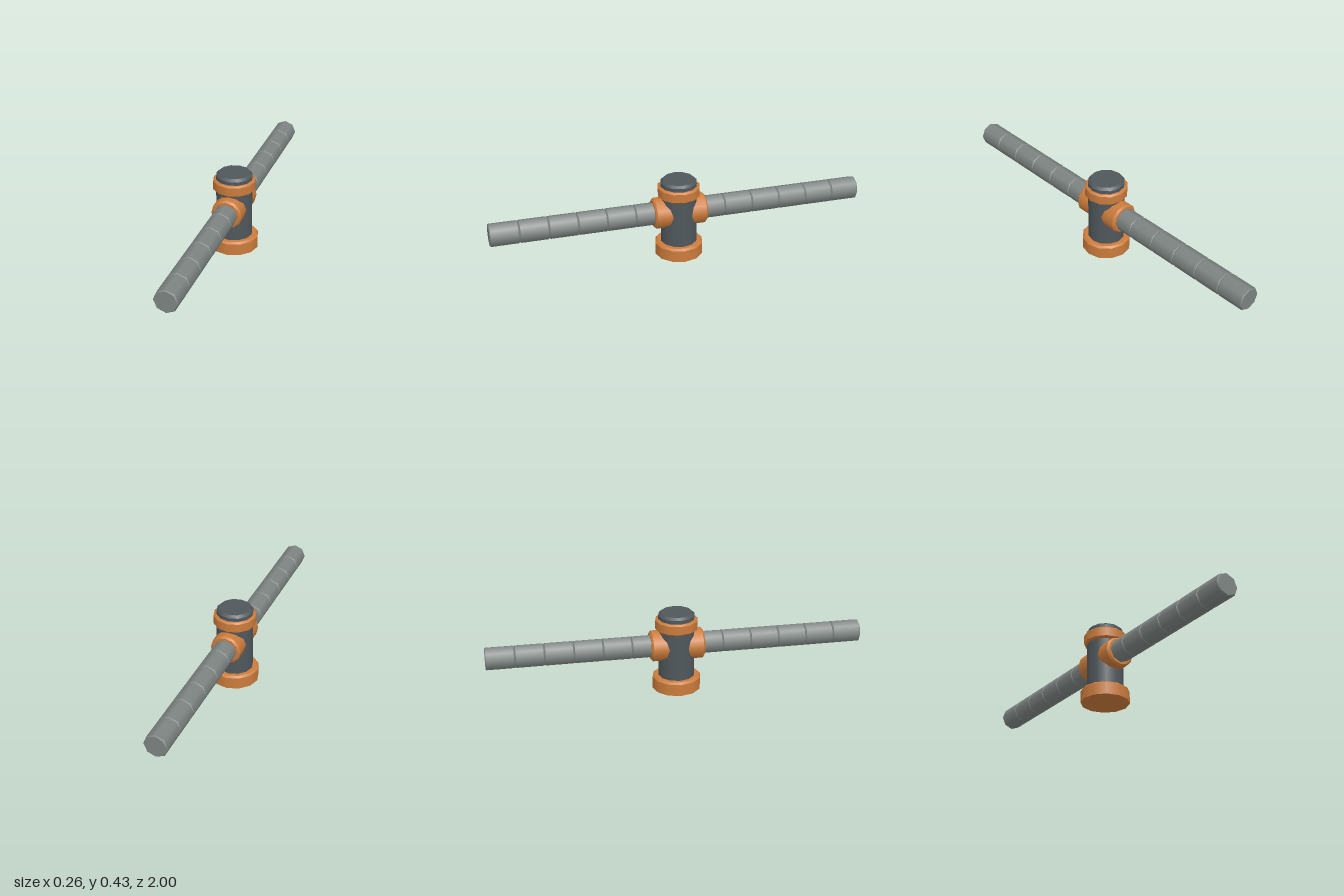
import * as THREE from 'three';
import { mergeGeometries } from 'three/addons/utils/BufferGeometryUtils.js';

const material = (name, color) => {
  const m = new THREE.MeshStandardMaterial({ color });
  m.name = name;
  return m;
};

// Stack of round bands from [radius, height] points: smooth around, crisp between bands, capped.
function turned(profile, sides) {
  const parts = [];
  for (let i = 1; i < profile.length; i++) {
    const [r0, y0] = profile[i - 1];
    const [r1, y1] = profile[i];
    parts.push(new THREE.CylinderGeometry(r1, r0, y1 - y0, sides, 1, true).translate(0, (y0 + y1) / 2, 0));
  }
  const [rb, yb] = profile[0];
  const [rt, yt] = profile[profile.length - 1];
  parts.push(new THREE.CircleGeometry(rb, sides).rotateX(Math.PI / 2).translate(0, yb, 0));
  parts.push(new THREE.CircleGeometry(rt, sides).rotateX(-Math.PI / 2).translate(0, yt, 0));
  return mergeGeometries(parts);
}

export function createModel() {
  const slate = material('dark slate', 0x50585c);
  const copper = material('copper', 0xcc7c3c);
  const grey = material('pipe grey', 0x7d8482);

  const model = new THREE.Group();
  model.name = 'pipeJunction';
  const add = (parent, name, geometry, mat) => {
    const mesh = new THREE.Mesh(geometry, mat);
    mesh.name = name;
    parent.add(mesh);
    return mesh;
  };

  // Upright post with a bevelled cap, foot and collar
  add(model, 'post', turned([[0.097, 0.03], [0.097, 0.414], [0.084, 0.427]], 12), slate);
  add(model, 'base', turned([[0.129, 0], [0.129, 0.064], [0.118, 0.0735]], 12), copper);
  add(model, 'collar', turned([[0.104, 0.333], [0.113, 0.341], [0.113, 0.387], [0.104, 0.395]], 12), copper);

  // Each arm: a socket and a row of pipe segments pointing along z
  const count = 6;
  const start = 0.09;
  const step = (1 - start) / count;
  const bevel = 0.005;
  for (const side of [1, -1]) {
    const arm = new THREE.Group();
    arm.name = side > 0 ? 'frontArm' : 'backArm';
    arm.position.y = 0.244;
    arm.rotation.x = side * Math.PI / 2;
    add(arm, 'socket', turned([[0.082, 0.03], [0.082, 0.133], [0.072, 0.142]], 12), copper);
    const segment = turned([
      [0.057, 0], [0.062, bevel], [0.062, step - bevel], [0.057, step],
    ], 8);
    for (let i = 0; i < count; i++) {
      add(arm, 'pipeSegment' + (i + 1), segment, grey).position.y = start + i * step;
    }
    model.add(arm);
  }
  return model;
}
